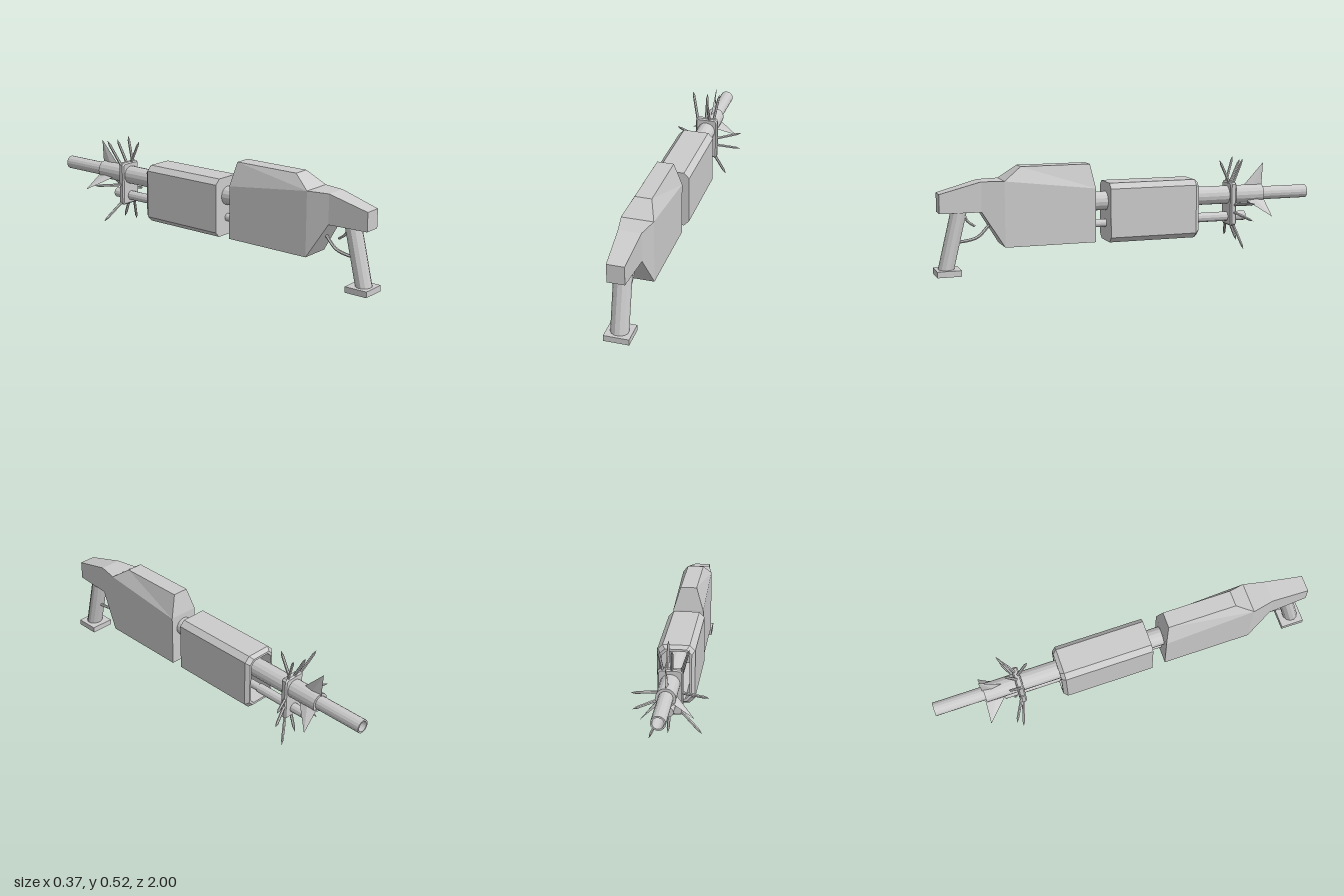
import * as THREE from 'three';

const CX = 0.006; // shared centre line
const mat = new THREE.MeshStandardMaterial({ color: 0xcccccc, flatShading: true, side: THREE.DoubleSide });
const V = (x, y, z) => new THREE.Vector3(x, y, z);

// Skin closed rings (counter-clockwise seen from +z) and cap both ends
function loft(rings) {
  const pos = [];
  const tri = (...pts) => pts.forEach(p => pos.push(...p));
  const n = rings[0].length;
  for (let k = 0; k < rings.length - 1; k++) {
    const r0 = rings[k], r1 = rings[k + 1];
    for (let i = 0; i < n; i++) {
      const j = (i + 1) % n;
      tri(r0[i], r0[j], r1[j]);
      tri(r0[i], r1[j], r1[i]);
    }
  }
  const first = rings[0], last = rings[rings.length - 1];
  for (let i = 1; i < n - 1; i++) {
    tri(first[0], first[i + 1], first[i]);
    tri(last[0], last[i], last[i + 1]);
  }
  const g = new THREE.BufferGeometry();
  g.setAttribute('position', new THREE.Float32BufferAttribute(pos, 3));
  g.computeVertexNormals();
  return g;
}

// Six-point body section; the ridge defaults to the shoulder
function bodySection([z, bottom, shoulder, w, zt = z, top = shoulder, wt = w]) {
  return [[-w, bottom, z], [w, bottom, z], [w, shoulder, z],
    [wt, top, zt], [-wt, top, zt], [-w, shoulder, z]];
}

// Chamfered rectangle ring
function octRing(w, h, c, y, z) {
  return [[-w + c, -h], [w - c, -h], [w, -h + c], [w, h - c],
    [w - c, h], [-w + c, h], [-w, h - c], [-w, -h + c]].map(p => [p[0], p[1] + y, z]);
}

export function createModel() {
  const model = new THREE.Group();
  const add = (name, geo, x = CX, y = 0, z = 0, parent = model) => {
    const m = new THREE.Mesh(geo, mat);
    m.name = name;
    m.position.set(x, y, z);
    parent.add(m);
    return m;
  };
  const rod = (name, r, y, z0, z1, sides = 16) =>
    add(name, new THREE.CylinderGeometry(r, r, z0 - z1, sides).rotateX(Math.PI / 2), CX, y, (z0 + z1) / 2);

  // Main body with raised ridge and tapering nose
  add('body', loft([
    [0.2, 0.133, 0.405, 0.079],
    [0.2, 0.133, 0.405, 0.079, 0.22, 0.525, 0.042],
    [0.665, 0.133, 0.46, 0.079, 0.575, 0.525, 0.042],
    [0.665, 0.133, 0.46, 0.079],
    [0.775, 0.31, 0.46, 0.056],
    [0.98, 0.31, 0.405, 0.043],
  ].map(bodySection)));

  // Leaning grip and its foot
  const grip = new THREE.CylinderGeometry(0.044, 0.044, 0.3, 12).rotateY(Math.PI / 12);
  const p = grip.attributes.position;
  for (let i = 0; i < p.count; i++) p.setZ(i, p.getZ(i) * 0.9 - p.getY(i) * 0.24);
  grip.computeVertexNormals();
  add('grip', grip, CX, 0.175, 0.911);
  add('gripFoot', new THREE.BoxGeometry(0.125, 0.03, 0.12), CX, 0.015, 0.94);

  // Trigger and guard
  const bent = (name, pts, r) => add(name, new THREE.TubeGeometry(
    new THREE.CatmullRomCurve3(pts.map(q => V(0, q[0], q[1]))), 10, r, 6));
  bent('trigger', [[0.32, 0.855], [0.265, 0.838], [0.235, 0.8]], 0.007);
  bent('triggerGuard', [[0.16, 0.9], [0.163, 0.85], [0.18, 0.785], [0.24, 0.725]], 0.008);

  // Sliding fore-end, hollow at the back
  add('foreEnd', loft([
    octRing(0.068, 0.125, 0.022, 0.276, 0.1),
    octRing(0.068, 0.125, 0.022, 0.276, -0.355),
    octRing(0.078, 0.136, 0.025, 0.276, -0.355),
    octRing(0.093, 0.151, 0.027, 0.276, -0.335),
    octRing(0.093, 0.151, 0.027, 0.276, 0.125),
  ]));

  // Tubes
  rod('barrelSleeve', 0.048, 0.33, 0.21, -0.74);
  rod('lowerTube', 0.02, 0.215, 0.21, -0.62);
  rod('lowerTubeCap', 0.025, 0.215, -0.35, -0.645, 12);
  const bore = [[0.027, 0.15], [0.035, 0.15], [0.035, -0.15], [0.027, -0.15], [0.027, 0.15]]
    .map(q => new THREE.Vector2(...q));
  add('barrel', new THREE.LatheGeometry(bore, 16).rotateX(Math.PI / 2), CX, 0.33, -0.85);

  // Plate carrying the spikes
  add('spikePlate', loft([
    octRing(0.053, 0.108, 0.008, 0.285, -0.577),
    octRing(0.06, 0.115, 0.01, 0.285, -0.57),
    octRing(0.06, 0.115, 0.01, 0.285, -0.55),
    octRing(0.053, 0.108, 0.008, 0.285, -0.543),
  ]));

  // Spikes: root x, y then tip x, y, z
  const spikes = new THREE.Group();
  spikes.name = 'spikes';
  model.add(spikes);
  [
    [-0.045, 0.38, -0.09, 0.523, -0.62],
    [0.04, 0.38, 0.06, 0.525, -0.61],
    [0.0, 0.38, -0.01, 0.515, -0.625],
    [0.02, 0.38, 0.022, 0.515, -0.495],
    [-0.045, 0.28, -0.183, 0.29, -0.63],
    [0.05, 0.28, 0.183, 0.3, -0.63],
    [0.05, 0.245, 0.18, 0.21, -0.62],
    [-0.04, 0.19, -0.148, 0.09, -0.6],
    [0.045, 0.19, 0.107, 0.052, -0.6],
    [0.01, 0.19, 0.015, 0.085, -0.6],
  ].forEach(([x0, y0, x1, y1, z1]) => {
    const root = V(x0, y0, -0.56), dir = V(x1, y1, z1).sub(root), len = dir.length();
    const prof = [[0, 0], [0.008, 0], [0.007, len - 0.025], [0, len]].map(q => new THREE.Vector2(...q));
    const m = add('spike', new THREE.LatheGeometry(prof, 6), x0, y0, -0.56, spikes);
    m.quaternion.setFromUnitVectors(V(0, 1, 0), dir.normalize());
  });

  // Three swept fins near the end of the sleeve
  const fin = new THREE.ConeGeometry(0.055, 0.125, 4);
  const f = fin.attributes.position;
  for (let i = 0; i < f.count; i++) {
    const y = f.getY(i) + 0.0625;
    f.setXYZ(i, f.getX(i) * 0.14, y + 0.038, f.getZ(i) - y * 0.5);
  }
  fin.computeVertexNormals();
  [0, 2.17, -2.31].forEach(a => {
    add('fin', fin, CX, 0.33, -0.69).rotation.z = a;
  });

  return model;
}
